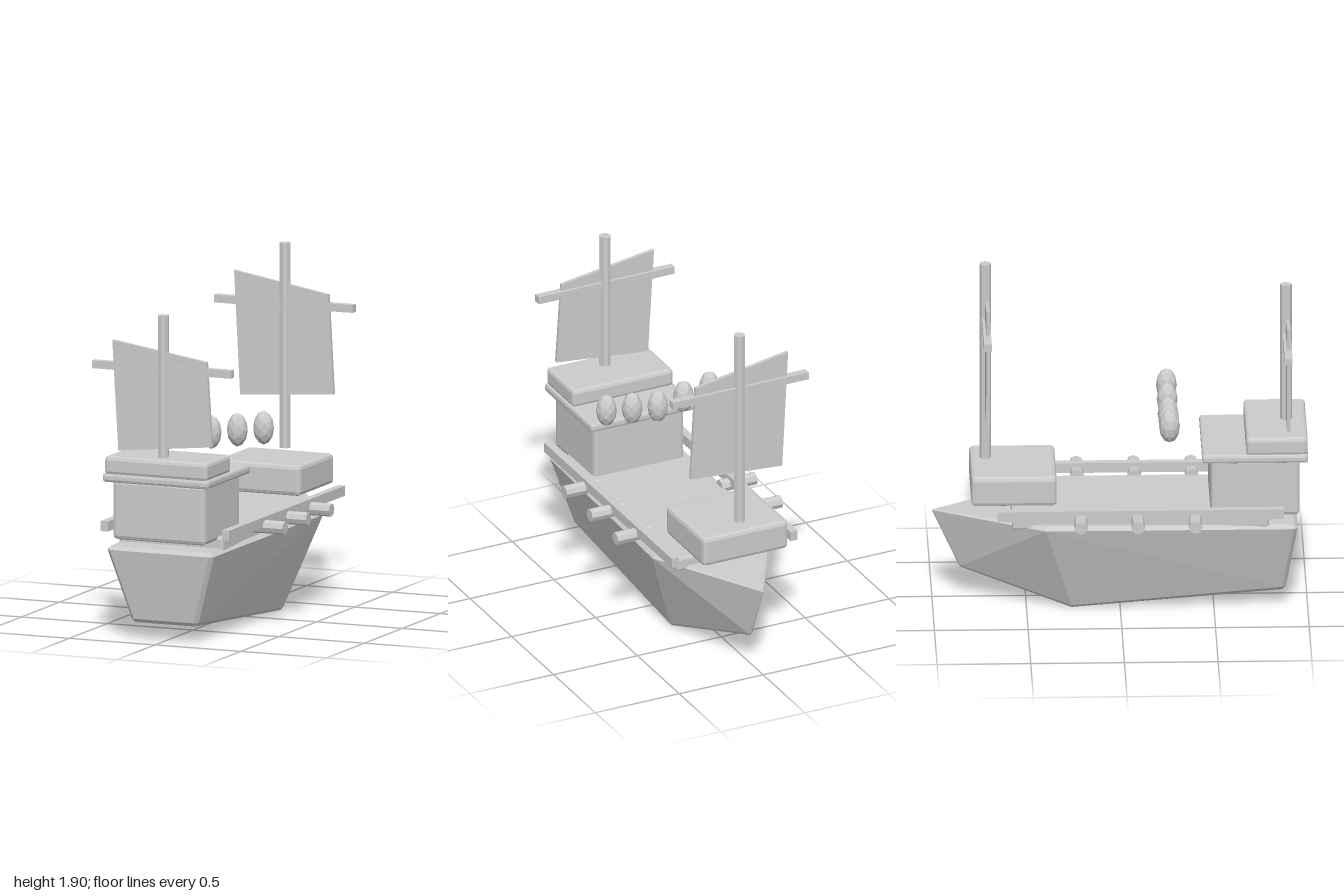
import * as THREE from 'three';
import { RoundedBoxGeometry } from 'three/addons/geometries/RoundedBoxGeometry.js';
import { ConvexGeometry } from 'three/addons/geometries/ConvexGeometry.js';

const material = new THREE.MeshStandardMaterial({ color: 0xcccccc, flatShading: true });

export function createModel() {
  const ship = new THREE.Group();
  ship.name = 'ship';

  function add(name, geometry, x = 0, y = 0, z = 0) {
    const mesh = new THREE.Mesh(geometry, material);
    mesh.name = name;
    mesh.position.set(x, y, z);
    ship.add(mesh);
    return mesh;
  }

  // Box with chamfered edges, given by half width and y / z ranges
  function chamferBox(name, halfW, y0, y1, z0, z1, bevel) {
    const geometry = new RoundedBoxGeometry(halfW * 2, y1 - y0, z1 - z0, 1, bevel);
    return add(name, geometry, 0, (y0 + y1) / 2, (z0 + z1) / 2);
  }

  // Hull: convex shell whose corners are small octahedra, giving chamfered edges
  const corners = [
    // x, y, z, bevel
    [0.29, 0.485, 0.925, 0.02], // stern top
    [0.175, 0.11, 0.865, 0.02], // stern bottom
    [0.34, 0.505, -0.4, 0.02], // shoulder
    [0.175, 0.015, -0.26, 0.015], // keel
    [0, 0.18, -0.845, 0.012], // bow foot
    [0, 0.495, -0.995, 0.005], // bow tip
  ];
  const hullPoints = [];
  for (const [x, y, z, r] of corners) {
    for (const side of x ? [-1, 1] : [1]) {
      for (const s of [-r, r]) {
        hullPoints.push(
          new THREE.Vector3(side * x + s, y, z),
          new THREE.Vector3(side * x, y + s, z),
          new THREE.Vector3(side * x, y, z + s));
      }
    }
  }
  add('hull', new ConvexGeometry(hullPoints));

  // Deck and houses
  chamferBox('deck', 0.305, 0.49, 0.57, -0.58, 0.79, 0.015);
  chamferBox('sternCabin', 0.27, 0.545, 0.87, 0.48, 0.955, 0.022);
  chamferBox('sternRoof', 0.31, 0.86, 0.908, 0.435, 1.0, 0.015);
  chamferBox('sternUpperDeck', 0.3, 0.9, 1.0, 0.67, 0.998, 0.02);
  chamferBox('bowHouse', 0.253, 0.605, 0.77, -0.795, -0.34, 0.022);

  // Rails and cannons on both sides
  const cannon = new THREE.CylinderGeometry(0.036, 0.036, 0.21, 8).rotateZ(Math.PI / 2);
  for (const side of [-1, 1]) {
    add('rail', new THREE.BoxGeometry(0.042, 0.055, 1.53), side * 0.354, 0.596, 0.105);
    for (const z of [0.394, 0.088, -0.217]) add('cannon', cannon, side * 0.387, 0.57, z);
  }

  // Mast with a yard and a skewed four-cornered sail
  function rig(name, z, bottom, top, yardY, sailZ, sailCorners) {
    add(name + 'Mast', new THREE.CylinderGeometry(0.031, 0.031, top - bottom, 8), 0, (bottom + top) / 2, z);
    add(name + 'Yard', new THREE.BoxGeometry(0.81, 0.042, 0.042), 0, yardY, z + 0.003);
    const shape = new THREE.Shape(sailCorners.map(([x, y]) => new THREE.Vector2(x, y)));
    const sail = new THREE.ExtrudeGeometry(shape, { depth: 0.02, bevelEnabled: false });
    add(name + 'Sail', sail, 0, 0, sailZ - 0.01);
  }
  rig('stern', 0.89, 0.995, 1.768, 1.477, 0.898,
    [[-0.255, 1.02], [0.29, 1.075], [0.26, 1.533], [-0.29, 1.617]]);
  rig('bow', -0.715, 0.795, 1.905, 1.576, -0.707,
    [[-0.255, 1.065], [0.29, 1.105], [0.26, 1.643], [-0.29, 1.737]]);

  // Row of lanterns hanging in a shallow dip
  const lantern = new THREE.IcosahedronGeometry(1, 1).scale(0.056, 0.092, 0.056);
  [1.08, 1.058, 1.035, 1.058, 1.08].forEach((y, i) => {
    add('lantern', lantern, (i - 2) * 0.153, y, 0.26);
  });

  return ship;
}
